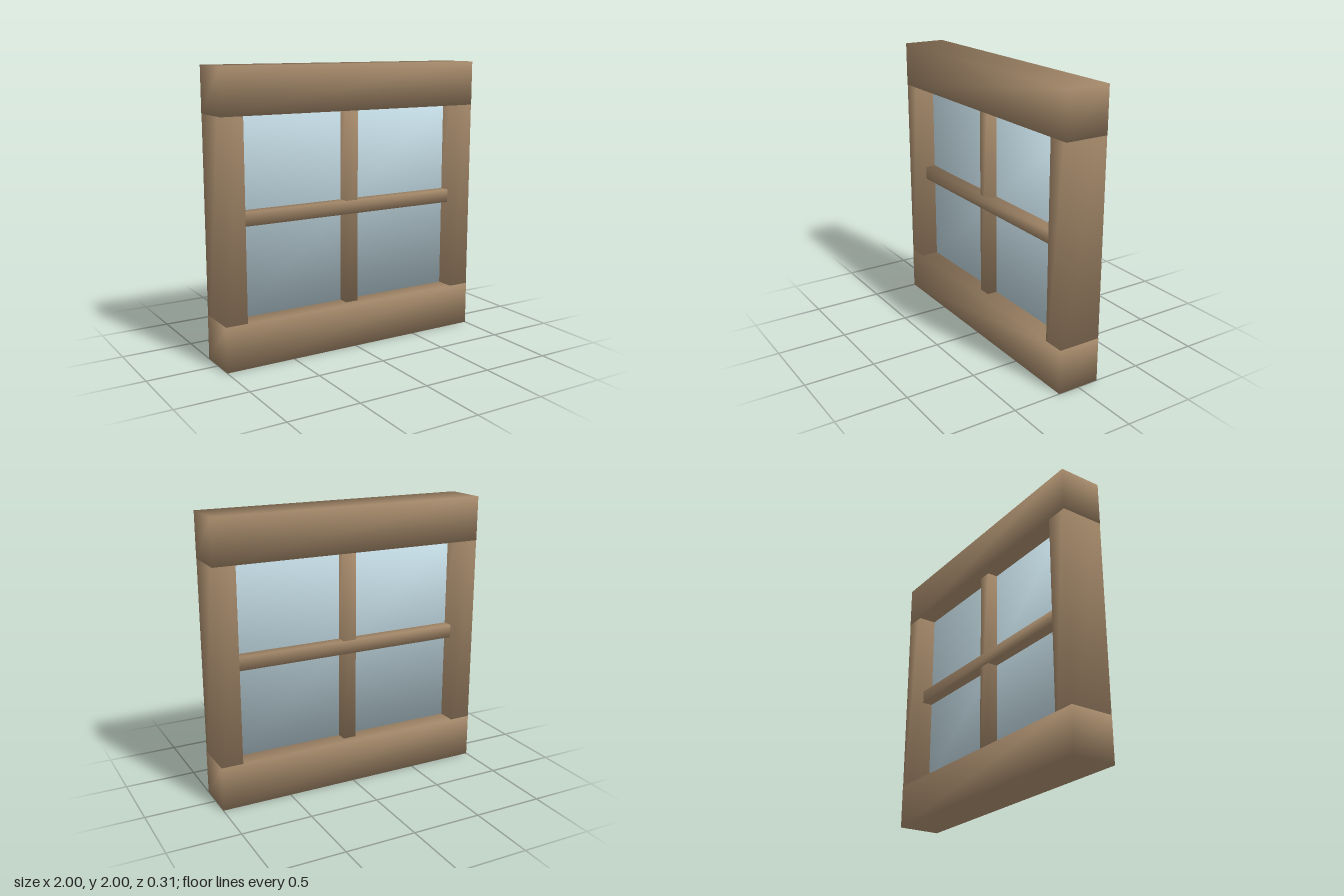
import * as THREE from 'three';

const wood = new THREE.MeshStandardMaterial({ color: 0xa68a6b });
const glass = new THREE.MeshStandardMaterial({ color: 0xc5dde6 });

// Box whose corner normals are averaged, giving the soft, rounded shading
function softBox(name, w, h, d, x, y, material) {
  const geometry = new THREE.BoxGeometry(w, h, d);
  const { position, normal } = geometry.attributes;
  const n = new THREE.Vector3();
  for (let i = 0; i < position.count; i++) {
    n.fromBufferAttribute(position, i);
    n.set(Math.sign(n.x), Math.sign(n.y), Math.sign(n.z)).normalize();
    normal.setXYZ(i, n.x, n.y, n.z);
  }
  const mesh = new THREE.Mesh(geometry, material);
  mesh.name = name;
  mesh.position.set(x, y, 0);
  return mesh;
}

export function createModel() {
  const model = new THREE.Group();
  model.name = 'window';

  const depth = 0.31, stileWidth = 0.155, railHeight = 0.315;
  const middle = 1.005; // height of the opening's centre
  const inset = 0.002;  // keeps overlapping faces apart

  // Outer frame: rails run the full width, stiles tuck into them
  const frame = new THREE.Group();
  frame.name = 'frame';
  frame.add(
    softBox('topRail', 2, railHeight, depth, 0, 2 - railHeight / 2, wood),
    softBox('bottomRail', 2, railHeight, depth, 0, railHeight / 2, wood)
  );
  for (const side of [-1, 1]) {
    frame.add(softBox(side > 0 ? 'leftStile' : 'rightStile',
      stileWidth, 2 - 2 * inset, depth - inset,
      side * (1 - stileWidth / 2 - inset / 2), 1, wood));
  }

  // Crossing glazing bars
  const bars = new THREE.Group();
  bars.name = 'glazingBars';
  bars.add(
    softBox('verticalBar', 0.095, 1.42, 0.19, 0, middle, wood),
    softBox('horizontalBar', 1.73, 0.095, 0.19 + inset, 0, middle, wood)
  );

  // Single pane behind the bars, held inside the frame
  const pane = softBox('glassPane', 1.72, 1.4, 0.04, 0, middle, glass);

  model.add(frame, bars, pane);
  return model;
}
